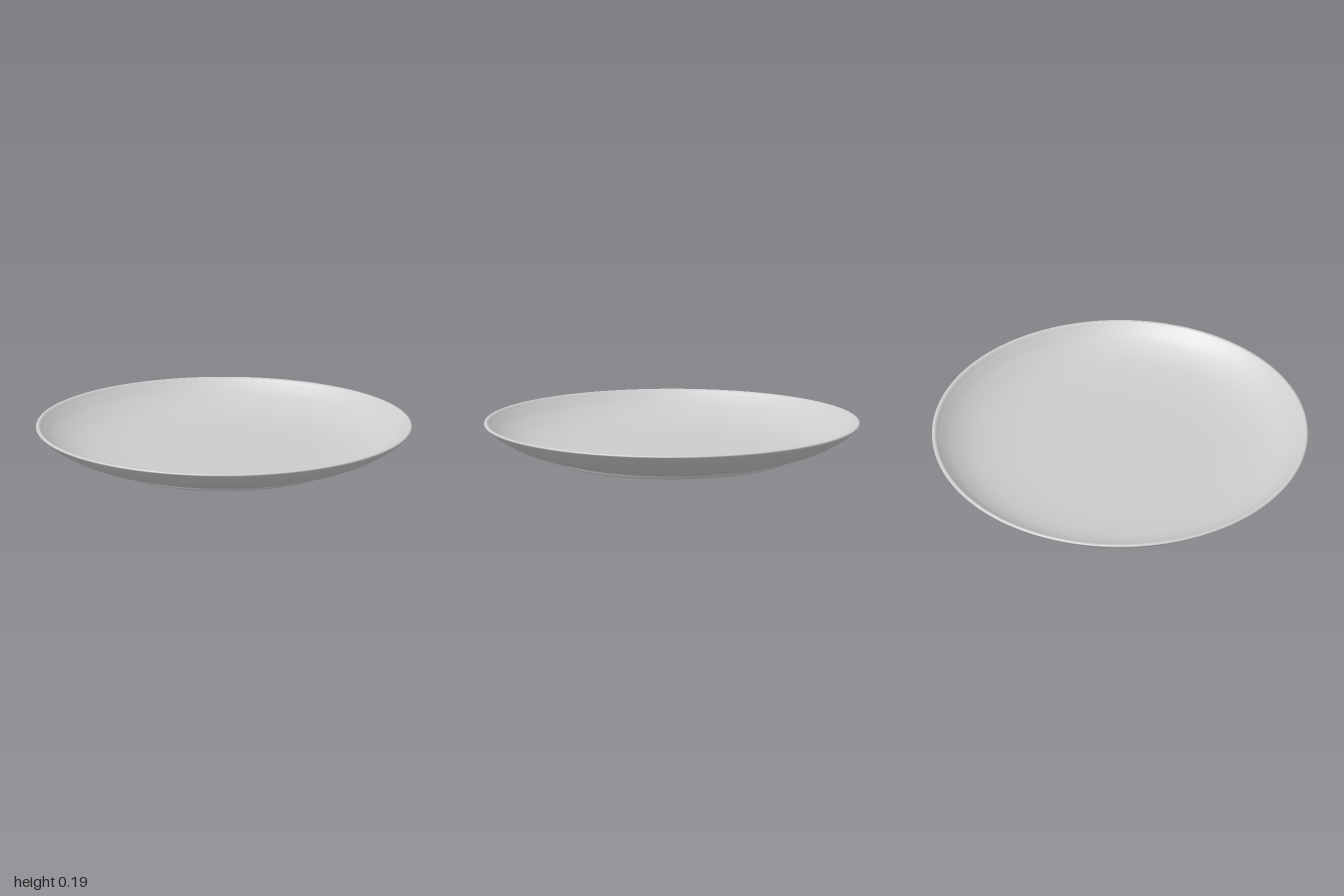
import * as THREE from 'three';

// Smooth run of profile points, [radius, height]
const run = (points, divisions) =>
  new THREE.SplineCurve(points.map(([r, y]) => new THREE.Vector2(r, y))).getPoints(divisions);

export function createModel() {
  const group = new THREE.Group();
  group.name = 'plate';
  const material = new THREE.MeshStandardMaterial({ color: 0xcccccc });

  const addTurned = (name, profile) => {
    const mesh = new THREE.Mesh(new THREE.LatheGeometry(profile, 128), material);
    mesh.name = name;
    group.add(mesh);
  };

  // Recessed underside and rounded foot ring
  addTurned('footRing', [
    new THREE.Vector2(0, 0.02),
    new THREE.Vector2(0.55, 0.02),
    ...run([[0.58, 0.02], [0.592, 0.016], [0.602, 0.004], [0.61, 0], [0.624, 0],
      [0.633, 0.005], [0.64, 0.018], [0.65, 0.025], [0.67, 0.029]], 32),
  ]);

  // Outer wall, rolled lip and shallow well
  addTurned('dish', [
    ...run([[0.67, 0.029], [0.75, 0.048], [0.84, 0.08], [0.92, 0.122], [0.97, 0.157],
      [0.994, 0.177], [1, 0.185], [0.997, 0.191], [0.988, 0.193], [0.978, 0.189],
      [0.955, 0.168], [0.9, 0.127], [0.81, 0.085], [0.7, 0.06], [0.56, 0.047], [0.4, 0.043]], 90),
    new THREE.Vector2(0, 0.042),
  ]);

  return group;
}
